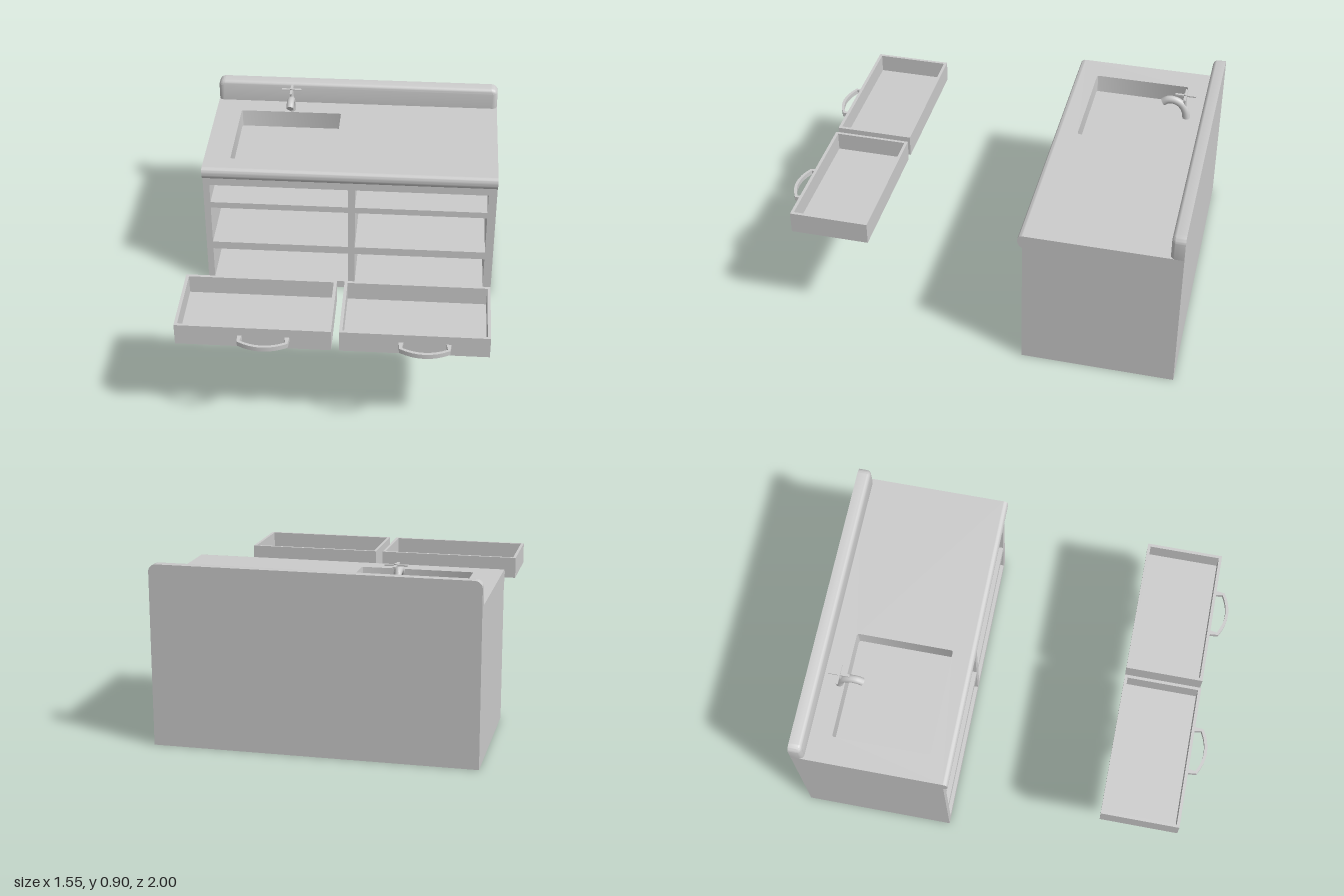
import * as THREE from 'three';
import { toCreasedNormals } from 'three/addons/utils/BufferGeometryUtils.js';

const grey = new THREE.MeshStandardMaterial({ color: 0xcccccc });
const HALF = 0.774, FRONT = -0.245, BACK = -1, BASIN_FLOOR = 0.66, TOP = 0.758;
const COLUMNS = [[-0.74, -0.007], [0.03, 0.73]];
const ROWS = [[0.04, 0.23], [0.275, 0.5], [0.535, 0.645]];

function add(parent, name, geometry) {
  const mesh = new THREE.Mesh(geometry, grey);
  mesh.name = name;
  parent.add(mesh);
  return mesh;
}

// Box from its minimum and maximum corners
function box(parent, name, [x0, y0, z0], [x1, y1, z1]) {
  const g = new THREE.BoxGeometry(x1 - x0, y1 - y0, z1 - z0);
  return add(parent, name, g.translate((x0 + x1) / 2, (y0 + y1) / 2, (z0 + z1) / 2));
}

function rect(x0, y0, x1, y1, r = 0, Type = THREE.Shape) {
  const s = new Type();
  if (!r) {
    s.moveTo(x0, y0).lineTo(x1, y0).lineTo(x1, y1).lineTo(x0, y1).closePath();
    return s;
  }
  s.absarc(x1 - r, y0 + r, r, -Math.PI / 2, 0);
  s.absarc(x1 - r, y1 - r, r, 0, Math.PI / 2);
  s.absarc(x0 + r, y1 - r, r, Math.PI / 2, Math.PI);
  s.absarc(x0 + r, y0 + r, r, Math.PI, Math.PI * 1.5);
  s.closePath();
  return s;
}

const extrude = (shape, depth) =>
  new THREE.ExtrudeGeometry(shape, { depth, bevelEnabled: false, curveSegments: 8 });

// Plan shape drawn as (x, -z), raised from y0 to y1
const raise = (shape, y0, y1) =>
  extrude(shape, y1 - y0).rotateX(-Math.PI / 2).translate(0, y0, 0);

function makeCabinet() {
  const g = new THREE.Group();
  g.name = 'cabinet';
  const frame = rect(-HALF, 0, HALF, BASIN_FLOOR);
  for (const [x0, x1] of COLUMNS)
    for (const [y0, y1] of ROWS) frame.holes.push(rect(x0, y0, x1, y1, 0, THREE.Path));
  add(g, 'carcass', extrude(frame, FRONT - BACK - 0.015).translate(0, 0, BACK + 0.015));
  box(g, 'backPanel', [-HALF, 0, BACK], [HALF, BASIN_FLOOR, BACK + 0.015]);
  return g;
}

function makeCountertop() {
  const g = new THREE.Group();
  g.name = 'countertop';

  // Slab with the basin cut out
  const slab = rect(-HALF, -FRONT, HALF, -BACK);
  slab.holes.push(rect(-0.635, 0.335, -0.085, 0.825, 0.012, THREE.Path));
  add(g, 'slabWithBasin', toCreasedNormals(raise(slab, BASIN_FLOOR, TOP), 0.6));

  // Rounded front lip, profile drawn as (z, y)
  const lip = new THREE.Shape();
  lip.moveTo(FRONT, 0.688);
  lip.quadraticCurveTo(-0.222, 0.7, -0.221, 0.728);
  lip.quadraticCurveTo(-0.221, TOP, FRONT, TOP);
  lip.closePath();
  const lipGeo = extrude(lip, HALF * 2).rotateY(-Math.PI / 2).translate(HALF, 0, 0);
  add(g, 'frontLip', toCreasedNormals(lipGeo, 0.6));

  // Backsplash: rounded front edge, bevel at the back pressed flat
  const b = 0.025;
  const splash = rect(-HALF + b, 0.72 + b, HALF - b, 0.877 - b, 0.012);
  const geo = new THREE.ExtrudeGeometry(splash, {
    depth: 0.04, bevelThickness: b, bevelSize: b, bevelSegments: 6, curveSegments: 8,
  }).translate(0, 0, BACK);
  const p = geo.attributes.position;
  for (let i = 0; i < p.count; i++) p.setZ(i, Math.max(p.getZ(i), BACK));
  add(g, 'backsplash', toCreasedNormals(geo, 0.6));
  return g;
}

function makeTap() {
  const g = new THREE.Group();
  g.name = 'tap';
  const path = new THREE.CatmullRomCurve3([
    [0.755, -0.852], [0.8, -0.843], [0.837, -0.82], [0.855, -0.785], [0.854, -0.752], [0.838, -0.728],
  ].map(([y, z]) => new THREE.Vector3(0, y, z)));
  add(g, 'spout', new THREE.TubeGeometry(path, 20, 0.02, 12));
  const mouth = add(g, 'spoutMouth', new THREE.CircleGeometry(0.02, 12));
  mouth.position.copy(path.getPoint(1));
  mouth.lookAt(path.getPoint(1).add(path.getTangent(1)));
  add(g, 'valveStem', new THREE.CylinderGeometry(0.007, 0.012, 0.07, 12).translate(0, 0.857, -0.84));
  add(g, 'handleHub', new THREE.CylinderGeometry(0.01, 0.01, 0.016, 12).translate(0, 0.892, -0.84));
  for (const angle of [0, Math.PI / 2]) {
    const bar = add(g, 'crossHandleBar', new THREE.BoxGeometry(0.106, 0.007, 0.013));
    bar.position.set(0, 0.892, -0.84);
    bar.rotation.y = angle;
  }
  g.position.x = -0.356;
  return g;
}

// Bowed pull on two flared posts, drawn as (x, -z)
function makePull(x, z) {
  const s = new THREE.Shape();
  s.moveTo(-0.122, 0).lineTo(-0.1, 0).lineTo(-0.106, -0.036);
  s.quadraticCurveTo(0, -0.094, 0.106, -0.036);
  s.lineTo(0.1, 0).lineTo(0.122, 0).lineTo(0.118, -0.045);
  s.quadraticCurveTo(0, -0.115, -0.118, -0.045);
  s.closePath();
  const g = toCreasedNormals(raise(s, 0.576, 0.6), 0.5);
  return g.translate(x, 0, z);
}

function makeDrawer([x0, x1], pullX) {
  const g = new THREE.Group();
  g.name = 'drawer';
  const [y0, y1] = ROWS[2], z0 = 0.53, z1 = 0.918, t = 0.015;
  const walls = rect(x0, -z1, x1, -z0);
  walls.holes.push(rect(x0 + t, -z1 + t, x1 - t, -z0 - t, 0, THREE.Path));
  add(g, 'drawerWalls', raise(walls, y0, y1));
  box(g, 'drawerFloor', [x0 + t, y0, z0 + t], [x1 - t, y0 + t, z1 - t]);
  add(g, 'drawerPull', makePull(pullX, z1));
  return g;
}

export function createModel() {
  const model = new THREE.Group();
  model.name = 'sinkCabinet';
  model.add(makeCabinet(), makeCountertop(), makeTap());
  model.add(makeDrawer(COLUMNS[0], -0.323), makeDrawer(COLUMNS[1], 0.428));
  return model;
}
